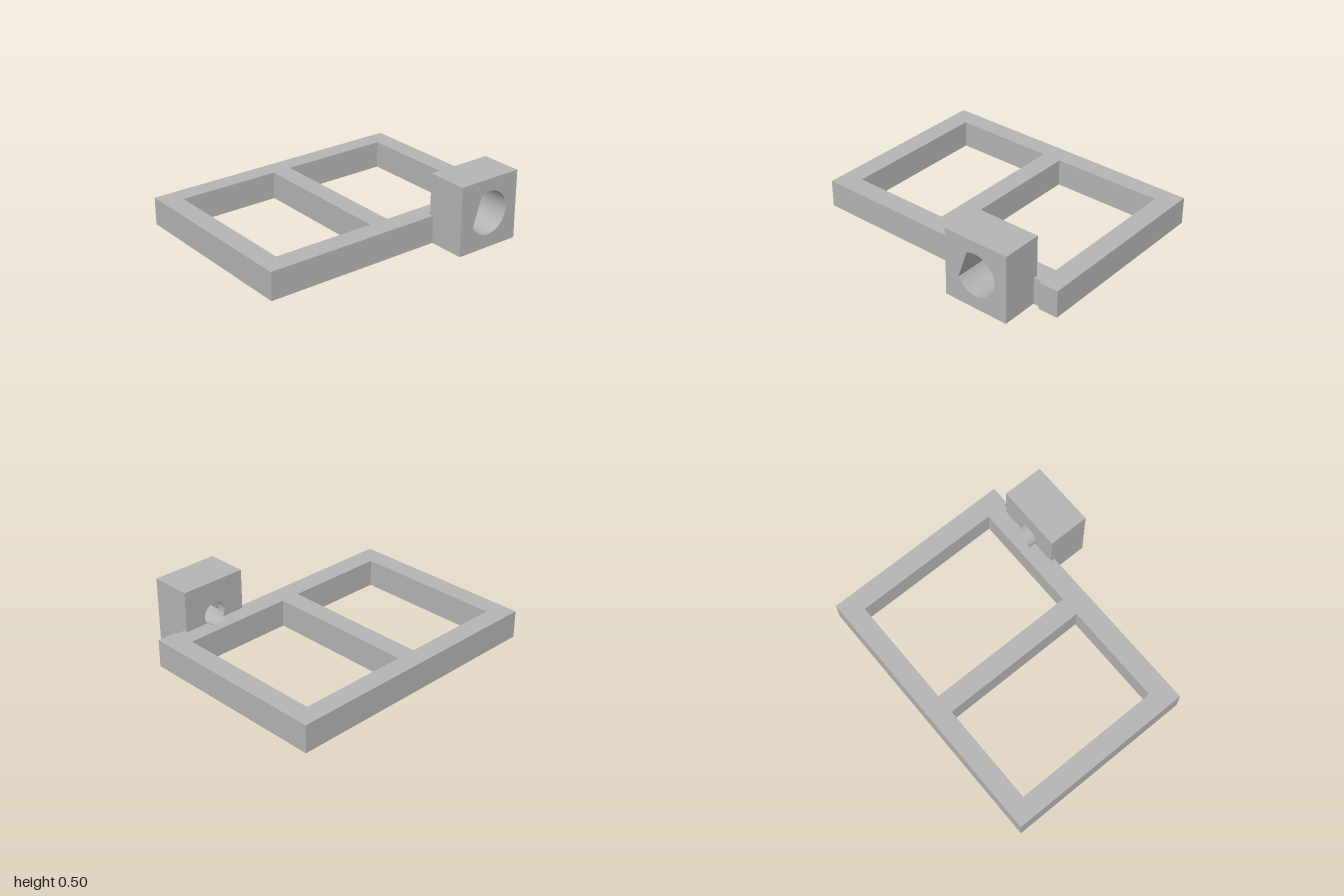
import * as THREE from 'three';
import { toCreasedNormals } from 'three/addons/utils/BufferGeometryUtils.js';

const H = 0.2;                                   // frame height
const BORE = { u: 0.555, y: 0.25, r: 0.085 };    // bore axis runs along x, u = -z
const POCKET_R = 0.155;

const polygon = (points) => new THREE.Shape(points.map(([x, y]) => new THREE.Vector2(x, y)));

const rect = (x0, x1, y0, y1) => polygon([[x0, y0], [x1, y0], [x1, y1], [x0, y1]]);

function extrude(shape, depth) {
  return new THREE.ExtrudeGeometry(shape, { depth, bevelEnabled: false, curveSegments: 48 });
}

// Extrude a (-z, y) profile from x0 to x1
function extrudeX(shape, x0, x1) {
  const g = extrude(shape, x1 - x0).rotateY(Math.PI / 2).translate(x0, 0, 0);
  return toCreasedNormals(g, 0.5);
}

export function createModel() {
  const group = new THREE.Group();
  const grey = new THREE.MeshStandardMaterial({ color: 0xb4b4b4 });
  grey.name = 'grey';
  const add = (name, geometry) => {
    const mesh = new THREE.Mesh(geometry, grey);
    mesh.name = name;
    group.add(mesh);
  };

  // Flat frame with two windows, stepped in where the block and bore groove sit
  const outline = polygon([
    [-0.83, -1], [0.56, -1], [0.56, 0.31], [0.53, 0.31], [0.53, 0.47], [0.48, 0.47],
    [0.48, 0.64], [0.53, 0.64], [0.53, 0.8], [0.56, 0.8], [0.56, 0.855], [0.58, 0.855],
    [0.58, 1], [-0.83, 1],
  ]);
  outline.holes.push(rect(-0.69, 0.41, -0.855, -0.105), rect(-0.69, 0.41, 0.038, 0.855));
  add('frame', extrude(outline, H).rotateX(-Math.PI / 2));

  // Piece of the side rail with the round groove left by the bore
  const a = Math.asin((H - BORE.y) / BORE.r);
  const groove = polygon([[0.47, H], [0.47, 0], [0.64, 0], [0.64, H]]);
  groove.absarc(BORE.u, BORE.y, BORE.r, a, -Math.PI - a, true);
  add('grooveRail', extrudeX(groove, 0.48, 0.53));

  // Block: thin inner wall with a round bore
  const wall = rect(0.31, 0.8, 0, 0.495);
  wall.holes.push(new THREE.Path().absarc(BORE.u, BORE.y, BORE.r, 0, Math.PI * 2));
  add('blockInnerWall', extrudeX(wall, 0.53, 0.59));

  // Block: outer body with a D-shaped pocket
  const body = rect(0.31, 0.8, 0, 0.495);
  const deg = Math.PI / 180;
  body.holes.push(new THREE.Path().absarc(BORE.u, BORE.y, POCKET_R, 206.6 * deg, 476.6 * deg));
  add('blockBody', extrudeX(body, 0.59, 0.83));

  return group;
}
